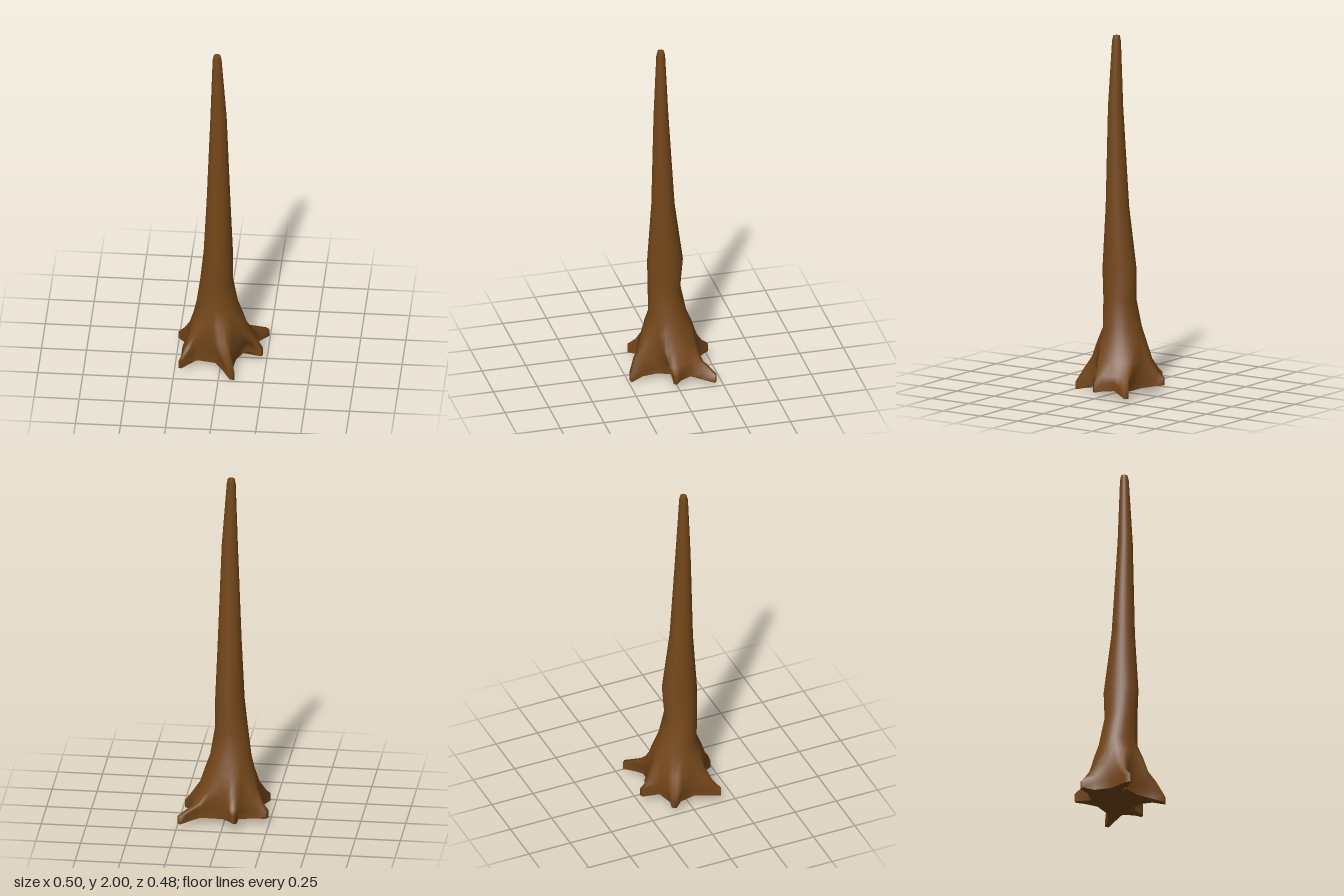
import * as THREE from 'three';

// Ground outline of the roots: x, z, underside height (clockwise seen from above)
const OUTLINE = [
  [-0.085, -0.24, 0.05], [-0.065, -0.243, 0.05], [-0.045, -0.205, 0.045], [0.005, -0.145, 0.035],
  [0.125, -0.14, 0.035], [0.195, -0.18, 0.025], [0.23, -0.215, 0.02], [0.247, -0.2, 0.02],
  [0.205, -0.135, 0.03], [0.175, -0.08, 0.04], [0.2, -0.02, 0.035], [0.23, 0.012, 0.03],
  [0.22, 0.028, 0.03], [0.18, 0.012, 0.035], [0.13, -0.015, 0.035], [0.085, 0.085, 0.035],
  [0.072, 0.165, 0.02], [0.09, 0.235, 0.0], [0.063, 0.24, 0.005], [0.025, 0.185, 0.02],
  [-0.025, 0.125, 0.035], [-0.125, 0.105, 0.035], [-0.165, 0.12, 0.03], [-0.21, 0.18, 0.025],
  [-0.225, 0.175, 0.025], [-0.215, 0.14, 0.03], [-0.175, 0.035, 0.035], [-0.195, -0.055, 0.035],
  [-0.248, -0.105, 0.04], [-0.232, -0.127, 0.04], [-0.175, -0.112, 0.035], [-0.085, -0.135, 0.035],
];
// Flare: height, largest radius, how evenly the columns are spread
const FLARE = [[0.12, 0.215, 0.3], [0.19, 0.168, 0.6], [0.28, 0.138, 0.85]];
// Trunk: height, min x, max x, min z, max z
const TRUNK = [
  [0.36, -0.14, 0.09, -0.105, 0.105], [0.52, -0.118, 0.064, -0.072, 0.11],
  [0.69, -0.1, 0.063, -0.085, 0.115], [1.04, -0.082, 0.05, -0.037, 0.092],
  [1.6, -0.06, 0.03, -0.002, 0.08], [1.97, -0.048, 0.002, 0.014, 0.063],
  [2.0, -0.042, -0.004, 0.02, 0.056],
];
const CX = -0.02;

function buildRings() {
  const n = OUTLINE.length;
  const even = (i) => -1.95 + (i / n) * Math.PI * 2;
  const rings = [
    OUTLINE.map(([x, z, y]) => [x, y, z]),
    OUTLINE.map(([x, z, y]) => [x, y + 0.045, z]),
  ];
  // Roots merge into the trunk as the allowed radius shrinks
  for (const [y, cap, t] of FLARE) {
    rings.push(OUTLINE.map(([x, z], i) => {
      const a = Math.atan2(z, x - CX);
      const turn = even(i) - a;
      const angle = a + t * Math.atan2(Math.sin(turn), Math.cos(turn));
      const r = Math.min(Math.hypot(x - CX, z), cap);
      return [CX + r * Math.cos(angle), y, r * Math.sin(angle)];
    }));
  }
  // Tapering, slightly crooked oval trunk
  for (const [y, x0, x1, z0, z1] of TRUNK) {
    rings.push(OUTLINE.map((_, i) => [
      (x0 + x1) / 2 + ((x1 - x0) / 2) * Math.cos(even(i)), y,
      (z0 + z1) / 2 + ((z1 - z0) / 2) * Math.sin(even(i)),
    ]));
  }
  return rings;
}

function toGeometry(points, index) {
  const g = new THREE.BufferGeometry();
  g.setAttribute('position', new THREE.Float32BufferAttribute(points.flat(), 3));
  g.setIndex(index);
  g.computeVertexNormals();
  return g;
}

// Smooth skin through a stack of rings
function loft(rings) {
  const n = rings[0].length;
  const index = [];
  for (let k = 0; k < rings.length - 1; k++) {
    for (let i = 0; i < n; i++) {
      const a = k * n + i, b = k * n + ((i + 1) % n);
      index.push(a, a + n, b, b, a + n, b + n);
    }
  }
  return toGeometry(rings.flat(), index);
}

// Fan closing one ring
function fan(ring, centre, up) {
  const n = ring.length;
  const index = [];
  for (let i = 0; i < n; i++) {
    const j = (i + 1) % n;
    index.push(n, up ? j : i, up ? i : j);
  }
  return toGeometry([...ring, centre], index);
}

export function createModel() {
  const group = new THREE.Group();
  group.name = 'treeTrunk';
  const bark = new THREE.MeshStandardMaterial({ color: 0x75471a });
  const add = (name, geometry) => {
    const mesh = new THREE.Mesh(geometry, bark);
    mesh.name = name;
    group.add(mesh);
  };
  const rings = buildRings();
  add('trunkAndRoots', loft(rings));
  add('rootUnderside', fan(rings[0], [CX, 0.05, 0], false));
  add('trunkTop', fan(rings[rings.length - 1], [-0.023, 2.0, 0.038], true));
  return group;
}
